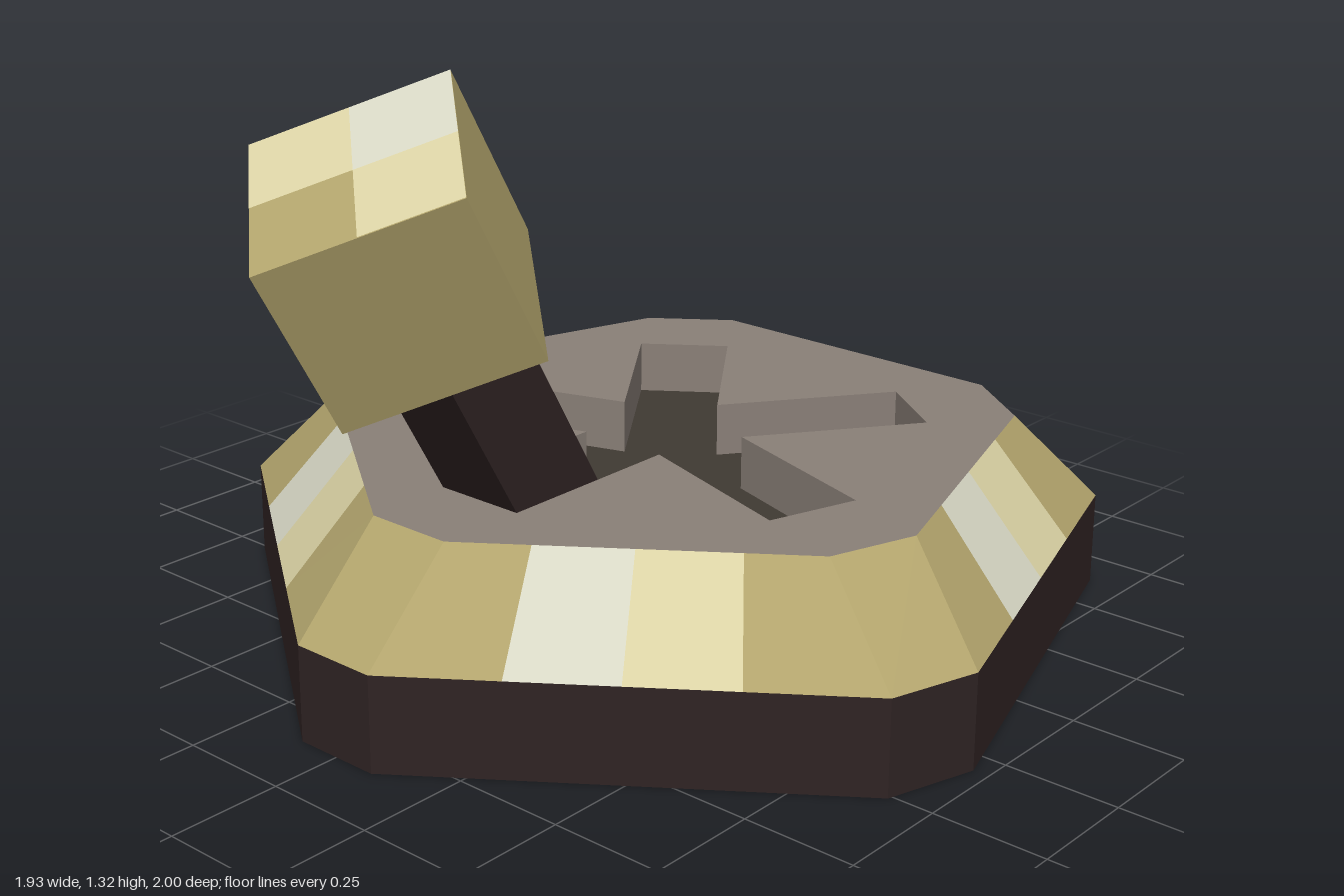
import * as THREE from 'three';
import { mergeGeometries } from 'three/addons/utils/BufferGeometryUtils.js';

const mat = (name, color, opts = {}) => Object.assign(new THREE.MeshStandardMaterial({ color, ...opts }), { name });

export function createModel() {
  const dark = mat('darkBrown', 0x2f2323);
  const gold = mat('gold', 0xb3a56d);
  const paleGold = mat('paleGold', 0xdcd4a6);
  const paleGrey = mat('paleGrey', 0xd9d9c6);
  const grey = mat('warmGrey', 0x8a8078);
  const slotDark = mat('slotDark', 0x403a33);

  const model = new THREE.Group();
  model.name = 'leverSwitch';
  const add = (parent, name, geometry, material) => {
    const mesh = new THREE.Mesh(geometry, material);
    mesh.name = name;
    parent.add(mesh);
    return mesh;
  };

  // Chamfered pentagon outlines as [x, z], clockwise seen from above
  const mirrored = (half) => [...half, ...half.map(([x, z]) => [-x, z]).reverse()];
  const outer = mirrored([[0.5, -1], [0.66, -0.88], [0.965, 0.06], [0.905, 0.26], [0.1, 0.845]]);
  const inner = mirrored([[0.37, -0.835], [0.54, -0.71], [0.77, 0], [0.705, 0.195], [0.1, 0.635]]);
  const toShape = (pts) => new THREE.Shape(pts.map(([x, z]) => new THREE.Vector2(x, -z)));
  const slab = (shape, depth, y) =>
    new THREE.ExtrudeGeometry(shape, { depth, bevelEnabled: false }).rotateX(-Math.PI / 2).translate(0, y, 0);

  // Plinth
  add(model, 'plinth', slab(toShape(outer), 0.21, 0), dark);

  // Sloping rim: each long side carries a pale gold and a pale grey panel
  const lowY = 0.21, highY = 0.42;
  const at = (ring, i, t, y) => {
    const a = ring[i], b = ring[(i + 1) % ring.length];
    return [a[0] + (b[0] - a[0]) * t, y, a[1] + (b[1] - a[1]) * t];
  };
  const panel = (i, low0, low1, high0, high1) => {
    const a = at(outer, i, low0, lowY), b = at(outer, i, low1, lowY);
    const c = at(inner, i, high0, highY), d = at(inner, i, high1, highY);
    const g = new THREE.BufferGeometry();
    g.setAttribute('position', new THREE.Float32BufferAttribute([b, a, c, b, c, d].flat(), 3));
    g.computeVertexNormals();
    return g;
  };
  const golds = [], yellows = [], greys = [];
  const low = [0, 0.28, 0.51, 0.74, 1], high = [0, 0.22, 0.5, 0.77, 1];
  const bands = [golds, yellows, greys, golds];
  for (let i = 0; i < outer.length; i++) {
    if (i % 2 === 0) golds.push(panel(i, 0, 1, 0, 1)); // corner
    else bands.forEach((list, k) => list.push(panel(i, low[k], low[k + 1], high[k], high[k + 1])));
  }
  add(model, 'rim', mergeGeometries(golds), gold);
  add(model, 'rimPaleGoldPanels', mergeGeometries(yellows), paleGold);
  add(model, 'rimPaleGreyPanels', mergeGeometries(greys), paleGrey);

  // Five-armed slot sunk into the top plate
  const armLength = 0.568, halfWidth = 0.105, slotFloor = 0.3;
  const star = [];
  for (let k = 0; k < 5; k++) {
    const a = -Math.PI / 2 + k * Math.PI * 0.4;
    const notch = a + Math.PI / 5, r = halfWidth / Math.sin(Math.PI / 5);
    const cx = Math.cos(a), sy = Math.sin(a);
    for (const s of [-1, 1]) {
      star.push(new THREE.Vector2(cx * armLength - sy * halfWidth * s, 0.145 + sy * armLength + cx * halfWidth * s));
    }
    star.push(new THREE.Vector2(Math.cos(notch) * r, 0.145 + Math.sin(notch) * r));
  }
  const plate = toShape(inner);
  plate.holes.push(new THREE.Path(star));
  add(model, 'topPlate', slab(plate, highY - slotFloor, slotFloor), grey);
  const floor = new THREE.ShapeGeometry(new THREE.Shape(star)).rotateX(-Math.PI / 2).translate(0, slotFloor, 0);
  add(model, 'slotFloor', floor, slotDark);

  // Lever leaning forward out of the front arm of the slot
  const lever = new THREE.Group();
  lever.name = 'lever';
  lever.position.set(0, highY, 0.315);
  lever.rotation.x = Math.PI / 6;
  model.add(lever);
  add(lever, 'leverShaft', new THREE.BoxGeometry(0.21, 0.8, 0.21).translate(0, 0.16, 0), dark);

  // Cube knob turned edge-forward, with painted quarters on its top
  const knob = new THREE.Group();
  knob.name = 'knob';
  knob.position.y = 0.656;
  knob.rotation.y = Math.PI / 4;
  lever.add(knob);
  const size = 0.418;
  add(knob, 'knobBlock', new THREE.BoxGeometry(size, 0.41, size), gold);
  const quarter = (name, sx, sz, material) =>
    add(knob, name, new THREE.PlaneGeometry(size / 2, size / 2).rotateX(-Math.PI / 2)
      .translate(sx * size / 4, 0.207, sz * size / 4), material);
  quarter('knobLeftQuarter', 1, 1, paleGold);
  quarter('knobRightQuarter', -1, -1, paleGold);
  quarter('knobBackQuarter', 1, -1, paleGrey);

  return model;
}
